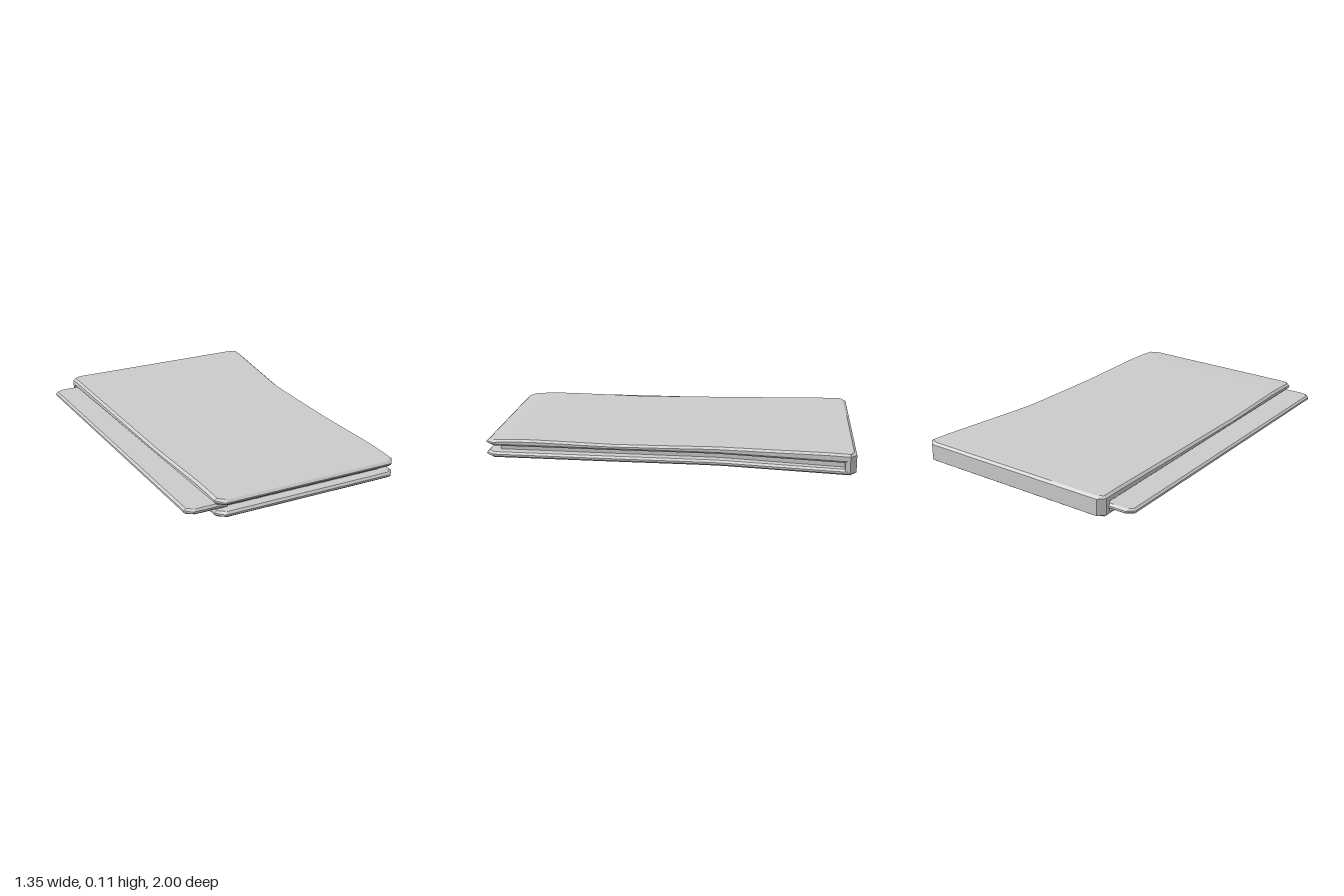
import * as THREE from 'three';
import { toCreasedNormals } from 'three/addons/utils/BufferGeometryUtils.js';

const material = new THREE.MeshStandardMaterial({ color: 0xcccccc });

// Linear lookup in rows sorted by falling z: [z, value, value...]
function sample(rows, z) {
  let i = 0;
  while (i < rows.length - 2 && z < rows[i + 1][0]) i++;
  const a = rows[i], b = rows[i + 1];
  const t = THREE.MathUtils.clamp((a[0] - z) / (a[0] - b[0]), 0, 1);
  return a.map((v, k) => v + (b[k] - v) * t);
}

// Insert extra stations on long stretches so that surfaces can undulate
function refine(rows, step) {
  const out = [];
  rows.forEach((row, i) => {
    out.push(row);
    if (i === rows.length - 1) return;
    const count = Math.ceil((row[0] - rows[i + 1][0]) / step);
    for (let k = 1; k < count; k++) {
      out.push(sample(rows, row[0] + (rows[i + 1][0] - row[0]) * k / count));
    }
  });
  return out;
}

// Stack inset copies of an outline [z, left x, right x]; layers are [inset, height or height(z)]
function slab(name, outline, layers, step = 10) {
  const rows = refine(outline, step), n = rows.length, ring = 2 * n;
  const front = rows[0][0], back = rows[n - 1][0];
  const pos = [], idx = [];
  for (const [inset, height] of layers) {
    const put = ([z, left, right], side) => {
      const zi = THREE.MathUtils.clamp(z, back + inset, front - inset);
      const x = side > 0 ? right - inset : left + inset;
      pos.push(x, typeof height === 'function' ? height(z) : height, zi);
    };
    rows.forEach((r) => put(r, 1));
    [...rows].reverse().forEach((r) => put(r, -1));
  }
  // Side bands
  for (let l = 0; l < layers.length - 1; l++) {
    for (let i = 0; i < ring; i++) {
      const a = l * ring + i, b = l * ring + (i + 1) % ring;
      idx.push(a, b, b + ring, a, b + ring, a + ring);
    }
  }
  // Bottom and top faces
  const top = (layers.length - 1) * ring;
  for (let i = 0; i < n - 1; i++) {
    const r0 = i, r1 = i + 1, l0 = ring - 1 - i, l1 = ring - 2 - i;
    idx.push(top + r0, top + r1, top + l1, top + r0, top + l1, top + l0);
    idx.push(r0, l1, r1, r0, l0, l1);
  }
  const geometry = new THREE.BufferGeometry();
  geometry.setAttribute('position', new THREE.Float32BufferAttribute(pos, 3));
  geometry.setIndex(idx);
  const mesh = new THREE.Mesh(toCreasedNormals(geometry, 0.4), material);
  mesh.name = name;
  return mesh;
}

export function createModel() {
  const group = new THREE.Group();
  group.name = 'folder';

  // Cover outline with clipped corners and a flared right edge
  const cover = [
    [1, -0.485, 0.51], [0.955, -0.525, 0.547], [0.3, -0.525, 0.565], [-0.2, -0.525, 0.575],
    [-0.29, -0.525, 0.58], [-0.38, -0.525, 0.592], [-0.965, -0.525, 0.672], [-1, -0.49, 0.635],
  ];

  // Gently rolling height of the top cover
  const rollPoints = [
    [1, 0.095], [0.9, 0.102], [0.75, 0.106], [0.55, 0.102], [0.3, 0.097],
    [0, 0.1], [-0.4, 0.106], [-0.85, 0.114], [-1, 0.113],
  ];
  const roll = (z) => sample(rollPoints, z)[1];

  group.add(slab('bottomCover', cover, [[0.014, 0], [0, 0.01], [0, 0.02], [0.012, 0.031]]));
  group.add(slab('topCover', cover,
    [[0.012, 0.066], [0, 0.077], [0, (z) => roll(z) - 0.011], [0.014, roll]], 0.06));

  // Closed back wall joining the covers
  group.add(slab('spine',
    [[-0.94, -0.525, 0.668], [-0.965, -0.525, 0.672], [-1, -0.49, 0.635]],
    [[0, 0.02], [0, 0.077]]));

  // Inner block, set back from the open edges
  group.add(slab('pages',
    [[0.93, -0.465, 0.48], [-0.28, -0.465, 0.517], [-0.95, -0.465, 0.62]],
    [[0, 0.025], [0, 0.072]]));

  // Thin sheet sticking out on the right-hand side
  group.add(slab('sheet',
    [[0.957, -0.64, -0.45], [0.92, -0.676, -0.45], [-0.91, -0.664, -0.45], [-0.945, -0.625, -0.45]],
    [[0.012, 0.034], [0, 0.043], [0, 0.054], [0.012, 0.063]]));

  return group;
}
